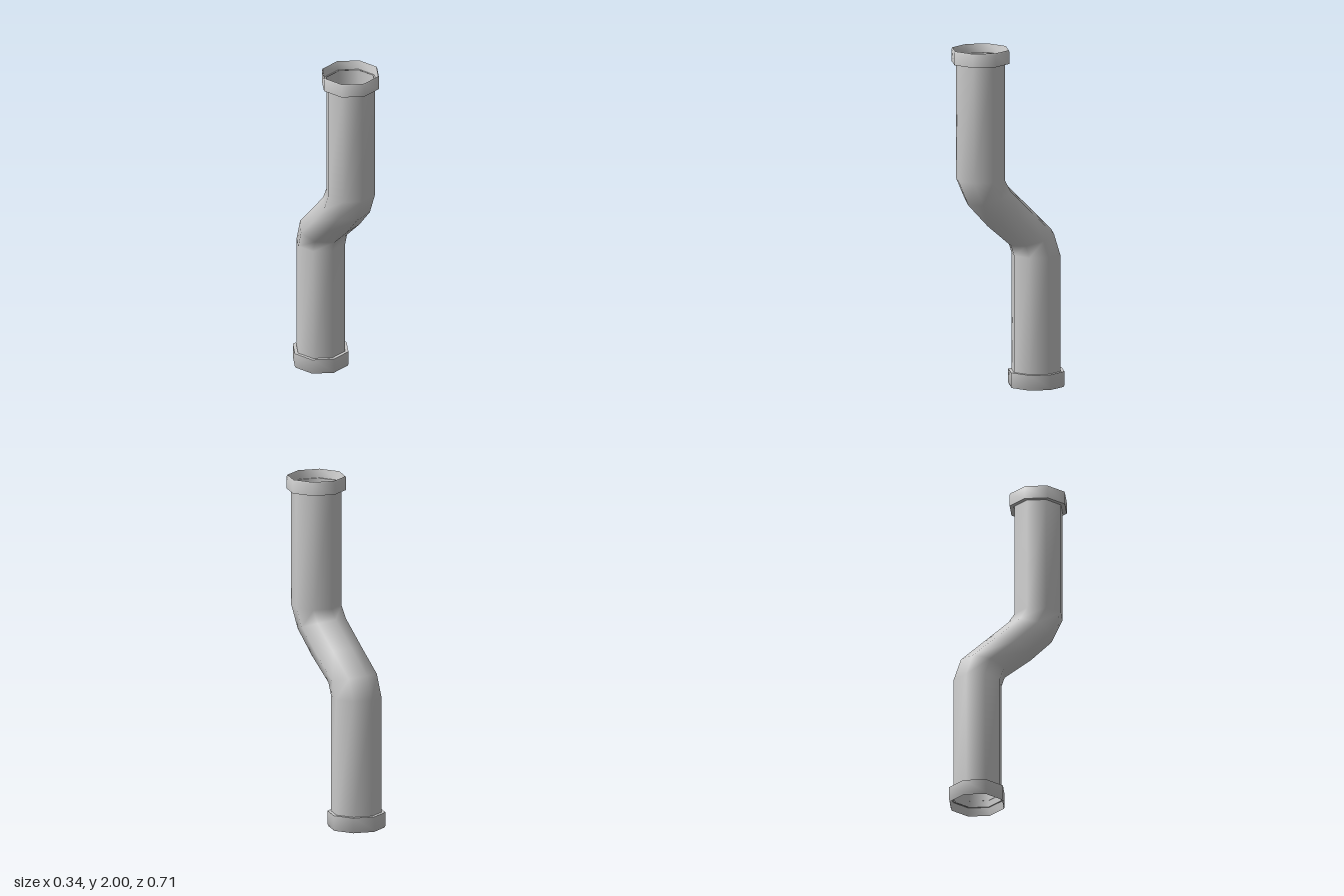
import * as THREE from 'three';
import { toCreasedNormals } from 'three/addons/utils/BufferGeometryUtils.js';

const SIDES = 8;
const RADIUS = 0.146;
const material = new THREE.MeshStandardMaterial({ color: 0xcccccc, side: THREE.DoubleSide });

// Skin of eight-sided rings; each ring is [front z, front y, back z, back y]
function ringTube(rings) {
  const positions = [];
  const indices = [];
  rings.forEach(([fz, fy, bz, by], r) => {
    for (let s = 0; s < SIDES; s++) {
      const a = (s / SIDES) * Math.PI * 2;
      const t = Math.cos(a) / 2;
      positions.push(RADIUS * Math.sin(a), (fy + by) / 2 + (fy - by) * t, (fz + bz) / 2 + (fz - bz) * t);
      if (r === 0) continue;
      const next = (s + 1) % SIDES;
      const a0 = (r - 1) * SIDES + s, a1 = (r - 1) * SIDES + next;
      const b0 = r * SIDES + s, b1 = r * SIDES + next;
      indices.push(a0, a1, b1, a0, b1, b0);
    }
  });
  const geometry = new THREE.BufferGeometry();
  geometry.setAttribute('position', new THREE.Float32BufferAttribute(positions, 3));
  geometry.setIndex(indices);
  geometry.computeVertexNormals();
  return geometry;
}

// Socket collar: outer wall, bevelled rim, tapered mouth and inner ledge
function collar(name, radius, height) {
  const profile = [
    [RADIUS, -height], [radius, -height], [radius, -0.01], [radius - 0.005, 0],
    [0.155, -0.05], [RADIUS, -0.05],
  ].map(([x, y]) => new THREE.Vector2(x, y));
  const geometry = toCreasedNormals(new THREE.LatheGeometry(profile, SIDES), Math.PI / 3);
  const mesh = new THREE.Mesh(geometry, material);
  mesh.name = name;
  return mesh;
}

export function createModel() {
  const group = new THREE.Group();
  group.name = 'offsetPipe';

  // Lower run, two bends and upper run
  const pipe = new THREE.Mesh(ringTube([
    [-0.04, 0.05, -0.328, 0.05],
    [-0.04, 0.77, -0.328, 0.77],
    [-0.02, 0.83, -0.283, 0.907],
    [0.135, 0.96, -0.142, 1.043],
    [0.262, 1.093, 0.003, 1.183],
    [0.328, 1.24, 0.038, 1.24],
    [0.328, 1.95, 0.038, 1.95],
  ]), material);
  pipe.name = 'pipe';
  group.add(pipe);

  // Collars at both ends, the lower one turned over
  const top = collar('topCollar', 0.172, 0.08);
  top.position.set(0, 2, 0.182);
  const bottom = collar('bottomCollar', 0.167, 0.09);
  bottom.rotation.x = Math.PI;
  bottom.position.z = -0.187;
  group.add(top, bottom);

  return group;
}
